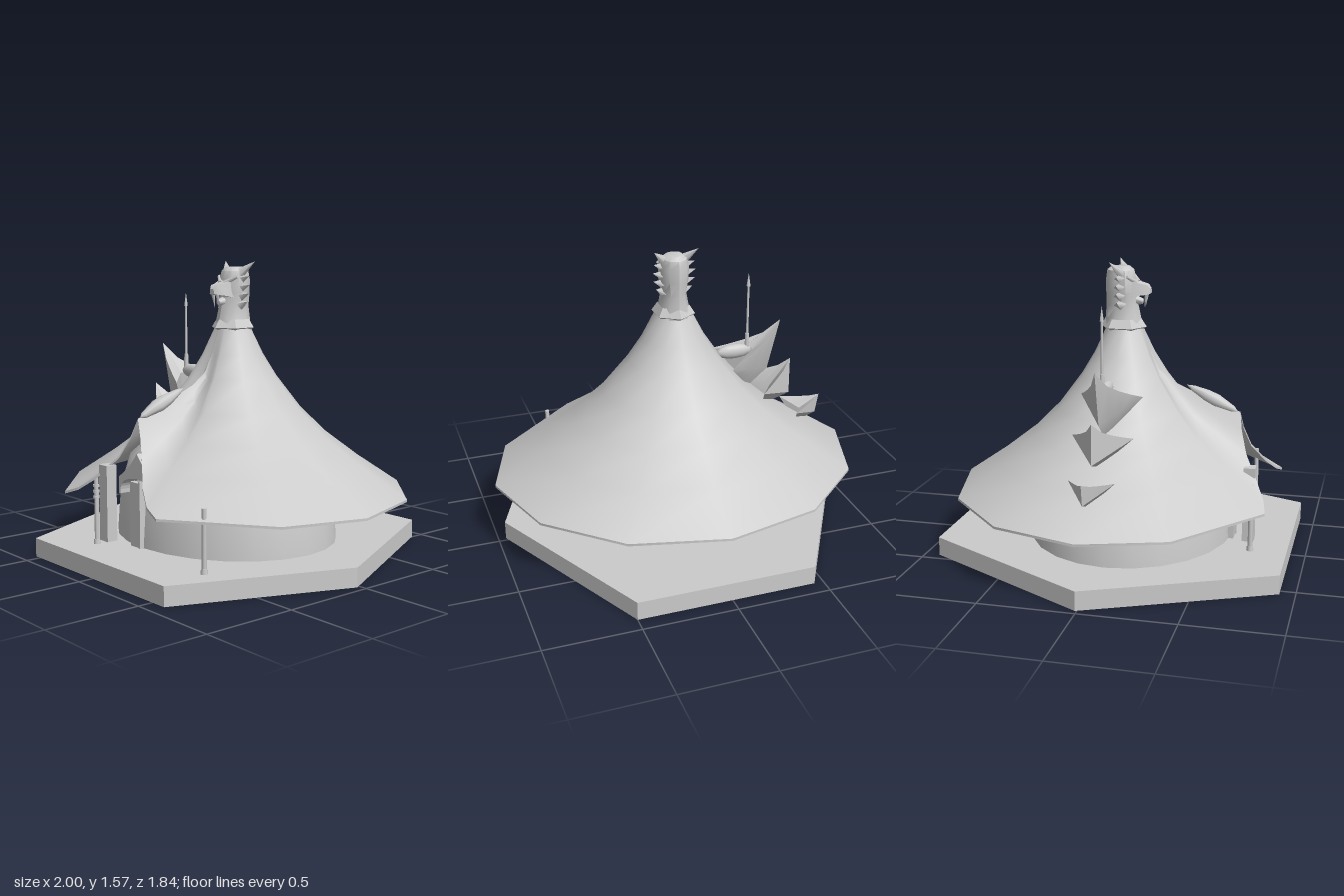
import * as THREE from 'three';
import { toCreasedNormals } from 'three/addons/utils/BufferGeometryUtils.js';

const grey = new THREE.MeshStandardMaterial({ color: 0xcccccc, side: THREE.DoubleSide });

function add(parent, name, geometry, x = 0, y = 0, z = 0) {
  const mesh = new THREE.Mesh(geometry, grey);
  mesh.name = name;
  mesh.position.set(x, y, z);
  parent.add(mesh);
  return mesh;
}

// Skin over closed loops of [x, y, z], listed bottom to top, counterclockwise from above
function loft(loops, { capStart = false, capEnd = false, crease = 0.7 } = {}) {
  const n = loops[0].length, pos = loops.flat(2), index = [];
  for (let i = 0; i < loops.length - 1; i++) {
    for (let j = 0; j < n; j++) {
      const a = i * n + j, b = i * n + (j + 1) % n;
      index.push(a, b, b + n, a, b + n, a + n);
    }
  }
  const last = (loops.length - 1) * n;
  for (let j = 1; j < n - 1; j++) {
    if (capStart) index.push(0, j + 1, j);
    if (capEnd) index.push(last, last + j, last + j + 1);
  }
  const g = new THREE.BufferGeometry();
  g.setAttribute('position', new THREE.Float32BufferAttribute(pos, 3));
  g.setIndex(index);
  return toCreasedNormals(g, crease);
}

// Cone or rod running from point a to point b
function spike(parent, name, a, b, r0, r1, sides = 6) {
  const A = new THREE.Vector3(...a), B = new THREE.Vector3(...b), d = B.clone().sub(A);
  const mesh = add(parent, name, new THREE.CylinderGeometry(r1, r0, d.length(), sides));
  mesh.position.copy(A).add(B).multiplyScalar(0.5);
  mesh.quaternion.setFromUnitVectors(new THREE.Vector3(0, 1, 0), d.normalize());
  return mesh;
}

// Roof: columns running from the neck ring to a rim that lifts into a gable at the front
function roofGeometry() {
  const half = [
    [0, .78, .63, 1], [.04, .69, .645, .8], [.1, .58, .68, .5], [.2, .47, .75, .25],
    [.3, .4, .8, .1], [.4, .365, .82, 0], [.86, .35, .43, 0], [1, .35, 0, 0],
    [.86, .35, -.45, 0], [.5, .35, -.78, 0], [0, .35, -.9, 0],
  ];
  const rim = [...half, ...half.slice(1, -1).reverse().map(([x, y, z, w]) => [-x, y, z, w])];
  const steps = [0, .08, .17, .33, .5, .72, 1];
  const slopeDrop = [0, .16, .3, .5, .66, .82, 1];
  const ridgeDrop = [0, .28, .52, .67, .76, .87, 1];
  const row = (i, lower) => rim.map(([x, y, z, w]) => {
    const r = 0.1 / Math.hypot(x, z), s = steps[i];
    const drop = slopeDrop[i] + (ridgeDrop[i] - slopeDrop[i]) * w;
    return [x * (r + (1 - r) * s), 1.21 + (y - 1.21) * drop - lower, z * (r + (1 - r) * s)];
  });
  const order = steps.map((_, i) => i);
  return loft([...order.map(i => row(i, .013)), ...order.reverse().map(i => row(i, 0))], { crease: 0.9 });
}

// Crest fin: a keel section sweeping back into two pointed wings
function finGeometry(keel, wing, halfWidth) {
  const loops = [-1, -.75, -.5, -.25, 0, .25, .5, .75, 1].map(u => {
    const t = Math.abs(u);
    return keel.map(([x, y], k) => {
      const f = k === 0 ? Math.pow(t, .6) : t;
      return [x + (wing[0] - x) * t, y + (wing[1] - y) * f, u * halfWidth];
    });
  });
  return loft(loops, { crease: 0.6 });
}

function buildHead() {
  const head = new THREE.Group();
  head.name = 'carvedHead';
  const section = (y, rx, front, back, n = 10) => Array.from({ length: n }, (_, i) => {
    const a = i / n * Math.PI * 2, c = Math.cos(a);
    return [Math.sin(a) * rx, y, c * (c > 0 ? front : back)];
  });
  add(head, 'collar', loft([
    section(1.195, .09, .09, .1, 6), section(1.215, .115, .12, .13, 6), section(1.26, .085, .09, .105, 6),
  ]));
  add(head, 'neckAndSkull', loft([
    section(1.2, .09, .1, .11), section(1.26, .078, .09, .105), section(1.33, .065, .075, .1),
    section(1.4, .078, .07, .102), section(1.47, .08, .062, .102), section(1.515, .07, .05, .095),
    section(1.535, .04, .025, .07),
  ], { capEnd: true }));
  // Upper beak and jaw
  const snout = (z, w, lo, hi) => [[-w, lo, z], [w, lo, z], [w * .8, hi, z], [-w * .8, hi, z]];
  add(head, 'muzzle', loft([
    snout(.03, .06, 1.37, 1.48), snout(.085, .05, 1.385, 1.45), snout(.125, .035, 1.39, 1.44),
    snout(.142, .018, 1.395, 1.42),
  ], { capEnd: true }));
  spike(head, 'jaw', [0, 1.36, .03], [0, 1.35, .1], .035, .015);
  for (const s of [-1, 1]) {
    spike(head, 'fang', [s * .018, 1.4, .12], [s * .014, 1.32, .11], .011, 0);
    spike(head, 'brow', [s * .015, 1.45, .07], [s * .075, 1.485, .03], .014, .008);
    spike(head, 'horn', [s * .04, 1.49, .0], [s * .12, 1.565, -.055], .034, 0);
    // Ruffled feathers down the cheeks
    for (const [y, reach] of [[1.345, .1], [1.39, .115], [1.435, .118], [1.48, .112]]) {
      spike(head, 'cheekFeather', [s * .05, y - .012, -.01], [s * reach, y + .008, -.02], .03, 0, 4)
        .scale.z = 1.5;
    }
  }
  return head;
}

export function createModel() {
  const model = new THREE.Group();
  model.name = 'hut';

  // Six-sided platform
  const plan = [[.59, .92], [.96, .02], [.5, -.92], [-.45, -.92], [-.97, -.01], [-.54, .92]];
  add(model, 'platform', loft([0, .1].map(y => plan.map(([x, z]) => [x, y, z])),
    { capStart: true, capEnd: true }));

  // Round wall closing into a low dome under the roof
  const wall = add(model, 'wall', new THREE.LatheGeometry(
    [[.65, .1], [.63, .34], [.57, .52], [.42, .65], [.2, .71], [0, .72]].map(p => new THREE.Vector2(...p)), 24),
    0, 0, .05);
  wall.scale.z = .85;

  add(model, 'roof', roofGeometry());

  // Crest of three fins down the right slope
  add(model, 'lowerFin', finGeometry([[-.88, .6], [-.76, .53], [-.74, .45], [-.86, .49]], [-.69, .56], .12));
  add(model, 'middleFin', finGeometry([[-.69, .85], [-.57, .7], [-.53, .59], [-.69, .64]], [-.47, .73], .16));
  add(model, 'upperFin', finGeometry([[-.62, 1.09], [-.45, .93], [-.44, .72], [-.55, .81]], [-.28, .9], .165));
  const cap = add(model, 'crestCap', new THREE.SphereGeometry(1, 12, 8), -.345, .945, -.015);
  cap.scale.set(.105, .04, .03);
  spike(model, 'spearSocket', [-.42, .95, -.015], [-.42, 1.04, -.015], .014, .011, 8);
  spike(model, 'spearShaft', [-.42, 1.03, -.015], [-.42, 1.32, -.015], .007, .006, 8);
  spike(model, 'spearHead', [-.42, 1.31, -.015], [-.42, 1.385, -.015], .011, 0, 6);

  // Leaf ornament lying on the front ridge
  const leaf = add(model, 'ridgeLeaf', new THREE.LatheGeometry(
    [[0, -.155], [.022, -.13], [.046, -.03], [.042, .03], [.022, .11], [0, .15]]
      .map(p => new THREE.Vector2(...p)), 8), 0, .848, .475);
  leaf.scale.z = .75;
  leaf.rotation.x = -Math.PI / 2 + .44;

  // Arched porch hood
  const arch = new THREE.Shape();
  arch.moveTo(-.16, .37);
  arch.lineTo(-.16, .46);
  arch.quadraticCurveTo(-.07, .51, 0, .6);
  arch.quadraticCurveTo(.07, .51, .16, .46);
  arch.lineTo(.16, .37);
  arch.lineTo(.15, .37);
  arch.bezierCurveTo(.15, .45, .1, .455, 0, .47);
  arch.bezierCurveTo(-.1, .455, -.15, .45, -.15, .37);
  add(model, 'porchArch', new THREE.ExtrudeGeometry(arch, { depth: .14, bevelEnabled: false, curveSegments: 10 }), 0, 0, .5);

  // Door, hanging panel and porch posts
  add(model, 'door', new THREE.BoxGeometry(.09, .34, .03), -.045, .27, .605);
  add(model, 'doorFrame', new THREE.BoxGeometry(.014, .35, .04), -.007, .275, .605);
  add(model, 'hangingPanel', new THREE.BoxGeometry(.07, .4, .06), -.16, .33, .71);
  for (const [x, z, top] of [[-.237, .73, .46], [.56, .655, .42]]) {
    spike(model, 'porchPost', [x, .1, z], [x, top, z], .013, .012, 8);
    spike(model, 'postFoot', [x, .1, z], [x, .125, z], .019, .016, 8);
  }
  for (const y of [.35, .38, .41]) {
    add(model, 'postRing', new THREE.CylinderGeometry(.018, .018, .012, 8), -.237, y, .73);
  }

  model.add(buildHead());
  return model;
}
